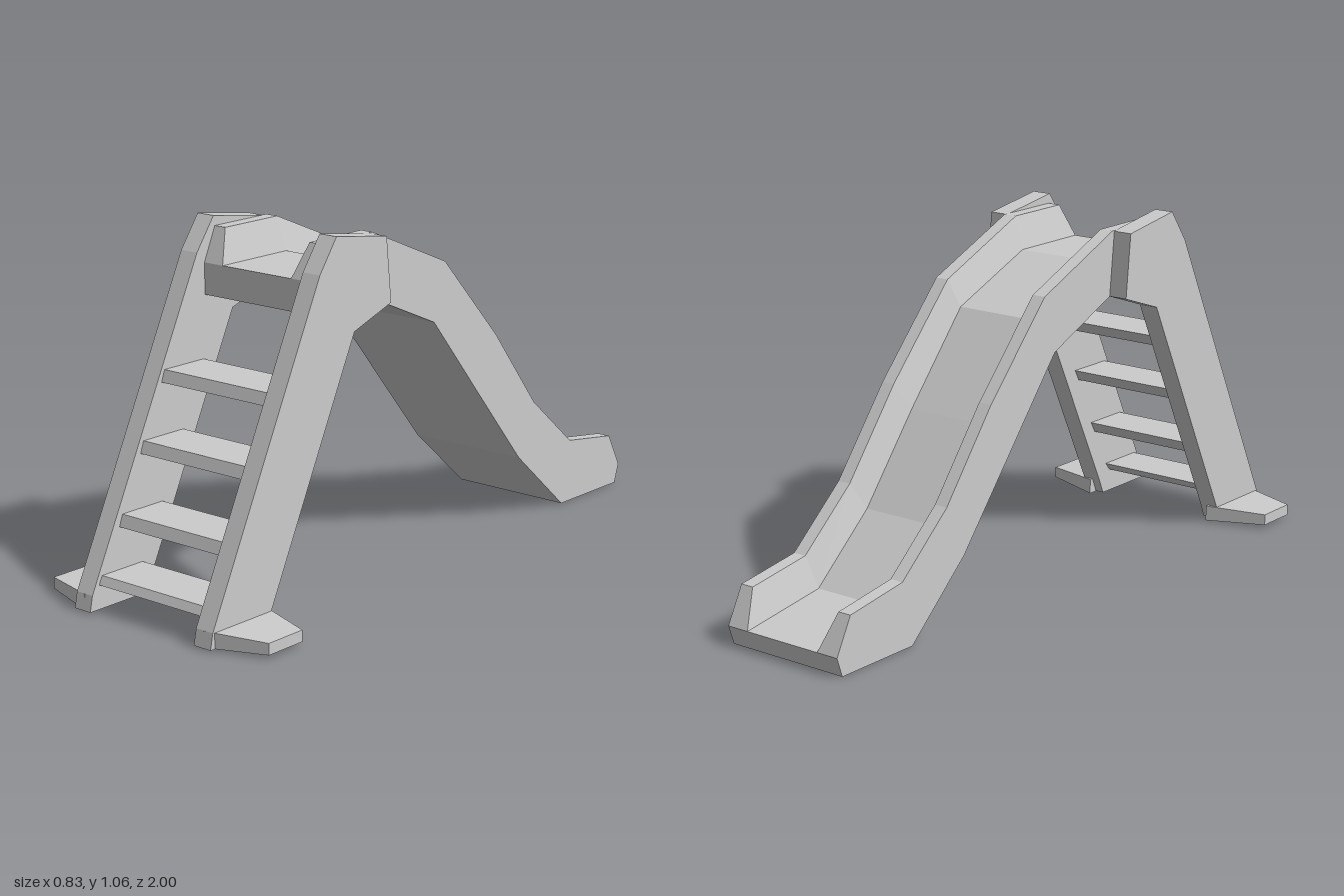
import * as THREE from 'three';

const mat = new THREE.MeshStandardMaterial({ color: 0xcccccc, flatShading: true });

function addMesh(parent, geometry, name) {
  const mesh = new THREE.Mesh(geometry, mat);
  mesh.name = name;
  parent.add(mesh);
  return mesh;
}

// Side profile of [z, y] points, extruded along x and centred on x = cx
function sidePanel(points, width, cx = 0) {
  const shape = new THREE.Shape(points.map(([z, y]) => new THREE.Vector2(z, y)));
  const geo = new THREE.ExtrudeGeometry(shape, { depth: width, bevelEnabled: false });
  return geo.rotateY(-Math.PI / 2).translate(cx + width / 2, 0, 0);
}

// Solid trough lofted through stations of bottom, floor and wall top, from front to back
function trough(stations, outer, rim, floorHalf) {
  const pos = [], index = [];
  const quad = (a, b, c, d) => index.push(a, b, c, a, c, d);
  for (const { bottom, floor, top } of stations) {
    const ring = [
      [-outer, bottom], [outer, bottom], [outer, floor], [outer, top], [rim, top],
      [floorHalf, floor], [-floorHalf, floor], [-rim, top], [-outer, top], [-outer, floor],
    ];
    for (const [x, [z, y]] of ring) pos.push(x, y, z);
  }
  const n = 10, last = (stations.length - 1) * n;
  for (let s = 0; s < last; s += n) {
    for (let i = 0; i < n; i++) {
      const j = (i + 1) % n;
      quad(s + i, s + n + i, s + n + j, s + j);
    }
  }
  for (const [a, b, c, d] of [[0, 1, 2, 9], [2, 3, 4, 5], [6, 7, 8, 9]]) {
    quad(a, b, c, d);
    quad(last + d, last + c, last + b, last + a);
  }
  const geo = new THREE.BufferGeometry();
  geo.setAttribute('position', new THREE.Float32BufferAttribute(pos, 3));
  geo.setIndex(index);
  const flat = geo.toNonIndexed();
  flat.computeVertexNormals();
  return flat;
}

// Foot: box between the rail and a smaller tip
function footGeometry(side) {
  const geo = new THREE.BoxGeometry(1, 1, 1);
  const p = geo.attributes.position;
  for (let i = 0; i < p.count; i++) {
    const tip = p.getX(i) * side > 0;
    p.setXYZ(i,
      side * (tip ? 0.417 : 0.23),
      0.031 + p.getY(i) * (tip ? 0.034 : 0.048),
      0.868 + p.getZ(i) * (tip ? 0.135 : 0.25));
  }
  geo.computeVertexNormals();
  return geo;
}

export function createModel() {
  const model = new THREE.Group();
  model.name = 'playgroundSlide';

  // Chute with side walls, platform at the front, run-out at the back
  const stations = [
    { bottom: [0.515, 0.838], floor: [0.515, 0.932], top: [0.47, 1.032] },
    { bottom: [0.24, 0.835], floor: [0.245, 0.932], top: [0.25, 1.032] },
    { bottom: [-0.03, 0.718], floor: [-0.055, 0.81], top: [-0.08, 0.893] },
    { bottom: [-0.24, 0.465], floor: [-0.285, 0.545], top: [-0.33, 0.625] },
    { bottom: [-0.455, 0.207], floor: [-0.49, 0.29], top: [-0.53, 0.37] },
    { bottom: [-0.685, 0.003], floor: [-0.705, 0.105], top: [-0.725, 0.203] },
    { bottom: [-0.98, 0.003], floor: [-1, 0.062], top: [-0.943, 0.17] },
  ];
  addMesh(model, trough(stations, 0.203, 0.16, 0.13), 'chute');

  // Ladder rails with feet
  const ladder = new THREE.Group();
  ladder.name = 'ladder';
  model.add(ladder);
  const rail = [
    [1, 0.008], [0.99, 0.055], [0.545, 0.965], [0.475, 1.062],
    [0.26, 1.03], [0.24, 0.835], [0.40, 0.78], [0.755, 0.055], [0.775, 0.008],
  ];
  for (const side of [-1, 1]) {
    const name = side > 0 ? 'left' : 'right';
    addMesh(ladder, sidePanel(rail, 0.062, side * 0.232), name + 'Rail');
    addMesh(ladder, footGeometry(side), name + 'Foot');
  }

  // Steps, front edge leaning with the rails
  const steps = [[0.105, 0.95, 0.025], [0.265, 0.865, 0.035], [0.46, 0.775, 0.035], [0.65, 0.685, 0.035]];
  steps.forEach(([y, z, h], i) => {
    const profile = [[z + 0.013, y - h], [z, y], [z - 0.16, y], [z - 0.14, y - h]];
    addMesh(ladder, sidePanel(profile, 0.41), 'step' + (i + 1));
  });

  return model;
}
